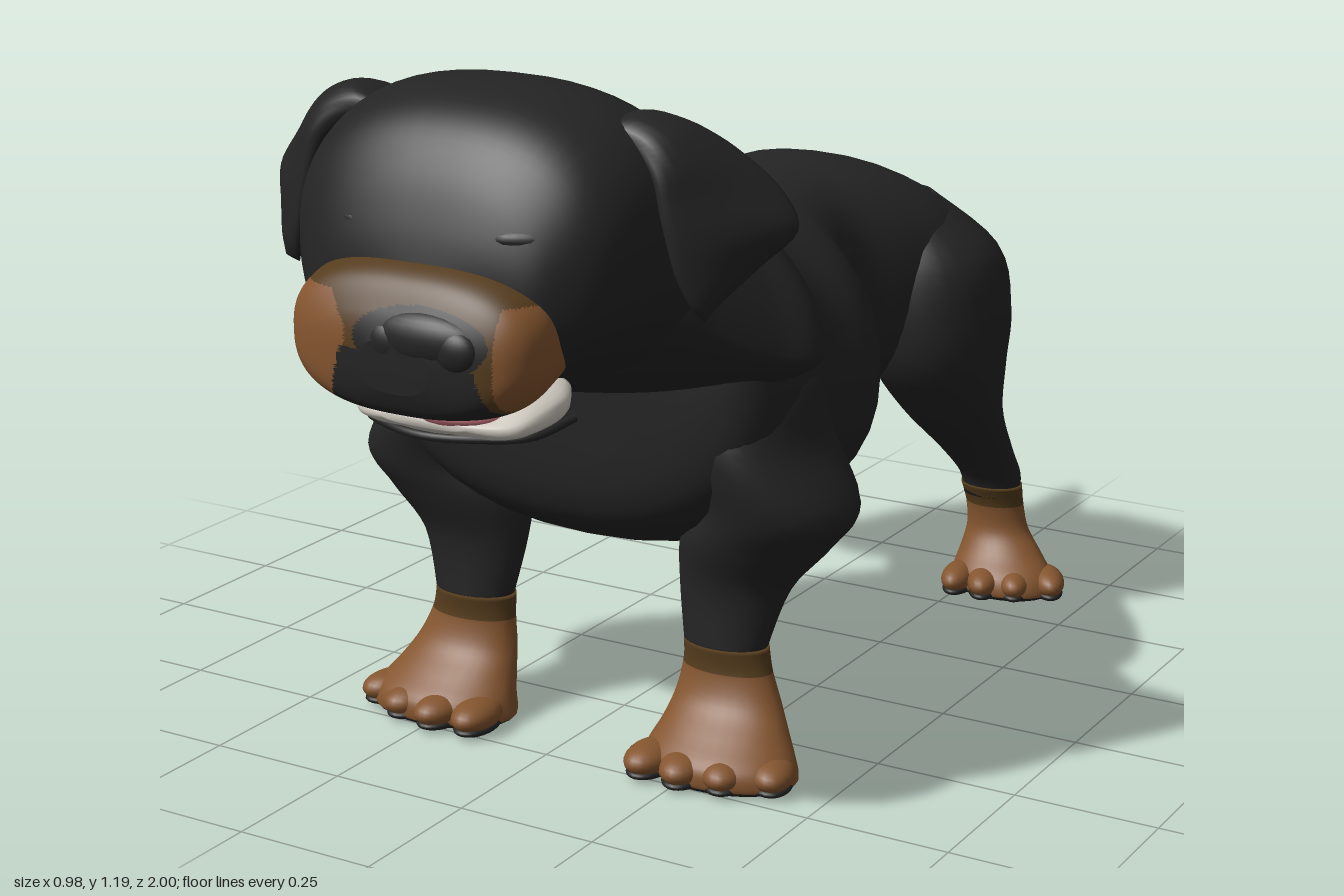
import * as THREE from 'three';

const mat = (name, color) => Object.assign(new THREE.MeshStandardMaterial({ color }), { name });

// Smooth closed skin through rings of [centre xyz, side xyz, up xyz, down xyz].
// paint(x, y, z) may choose a material index for each face.
function loft(rows, { power = 2, sub = 5, seg = 40, paint } = {}) {
  const cat = (a, b, c, d, t) => {
    const m = (c - a) / 2, n = (d - b) / 2, t2 = t * t, t3 = t2 * t;
    return (2 * t3 - 3 * t2 + 1) * b + (t3 - 2 * t2 + t) * m + (3 * t2 - 2 * t3) * c + (t3 - t2) * n;
  };
  const last = rows.length - 1, pos = [], tris = [];
  const round = v => Math.sign(v) * Math.abs(v) ** (2 / power);
  const count = last * sub + 1;
  for (let r = 0; r < count; r++) {
    const i = Math.min(Math.floor(r / sub), last - 1), t = r / sub - i;
    const at = k => rows[Math.max(0, Math.min(last, k))];
    const q = rows[0].map((_, k) => cat(at(i - 1)[k], at(i)[k], at(i + 1)[k], at(i + 2)[k], t));
    for (let j = 0; j < seg; j++) {
      const a = j / seg * Math.PI * 2, c = round(Math.cos(a)), s = round(Math.sin(a));
      const o = s > 0 ? 6 : 9;
      for (let k = 0; k < 3; k++) pos.push(q[k] + c * q[3 + k] + Math.abs(s) * q[o + k]);
    }
  }
  const start = pos.length / 3;
  pos.push(...rows[0].slice(0, 3), ...rows[last].slice(0, 3));
  for (let j = 0; j < seg; j++) {
    const n = (j + 1) % seg, e = (count - 1) * seg;
    for (let r = 0; r < count - 1; r++) {
      const a = r * seg + j, b = r * seg + n;
      tris.push([a, b, a + seg], [b, b + seg, a + seg]);
    }
    tris.push([start, n, j], [start + 1, e + j, e + n]);
  }
  // Turn the faces outward
  const P = i => new THREE.Vector3().fromArray(pos, i * 3);
  let volume = 0;
  for (const [a, b, c] of tris) volume += P(a).dot(P(b).cross(P(c)));
  if (volume < 0) tris.forEach(t => t.reverse());
  const geo = new THREE.BufferGeometry();
  geo.setAttribute('position', new THREE.Float32BufferAttribute(pos, 3));
  if (paint) {
    const bins = [];
    for (const t of tris) {
      const m = P(t[0]).add(P(t[1])).add(P(t[2])).divideScalar(3);
      (bins[paint(m.x, m.y, m.z)] ??= []).push(...t);
    }
    let from = 0;
    bins.forEach((b, i) => { geo.addGroup(from, b.length, i); from += b.length; });
    geo.setIndex(bins.flat());
  } else geo.setIndex(tris.flat());
  geo.computeVertexNormals();
  return geo;
}

// Ring across z: top, bottom, half width, centre x, height of the widest point
const ringZ = ([z, top, bot, w, x, mid = (top + bot) / 2]) =>
  [x, mid, z, w, 0, 0, 0, top - mid, 0, 0, bot - mid, 0];
// Ring across y, mirrored by side s
const ringY = (s, mx) => ([y, x, z, rx, rz]) =>
  [mx + s * x, y, z, rx, 0, 0, 0, 0, rz, 0, 0, -rz];

export function createModel() {
  const model = new THREE.Group();
  model.name = 'dog';
  const black = mat('black coat', 0x242424), tan = mat('tan', 0x84552f);
  const dark = mat('dark tan', 0x553c1d), white = mat('teeth', 0xd2ccc2), pink = mat('tongue pink', 0xc8757c);
  const add = (name, geo, material) => {
    const m = new THREE.Mesh(geo, material);
    m.name = name;
    model.add(m);
    return m;
  };
  const blob = (name, material, p, s, ry = 0) => {
    const m = add(name, new THREE.SphereGeometry(1, 24, 16), material);
    m.position.set(...p);
    m.scale.set(...s);
    m.rotation.y = ry;
  };

  // Torso from rump to chest
  add('torso', loft([
    [-.595, .72, .6, .08, .04], [-.575, .79, .56, .2, .04], [-.5, .835, .5, .285, .04],
    [-.4, .88, .46, .29, .04], [-.3, .9, .45, .25, .035], [-.2, .895, .43, .2, .035],
    [-.1, .885, .41, .24, .03], [0, .88, .38, .335, .025], [.1, .89, .34, .385, .025],
    [.2, .92, .325, .37, .025], [.3, .95, .335, .385, .015], [.4, .95, .37, .385, .01],
    [.46, .9, .41, .35, .01], [.485, .8, .46, .27, .01], [.492, .7, .52, .15, .01],
  ].map(ringZ), { power: 2.25 }), black);
  blob('bellyTuft', black, [.035, .435, -.17], [.03, .035, .06]);

  // Neck, pushed out low down into a heavy fold
  add('neck', loft([
    [.1, .88, .7, .15, .02, .8], [.26, .96, .64, .35, .015, .75], [.38, 1.05, .63, .445, .015, .74],
    [.46, 1.11, .64, .41, .01, .75], [.55, 1.14, .66, .34, .02, .8], [.62, 1.1, .69, .28, .03, .85],
    [.66, 1.0, .73, .18, .03, .86],
  ].map(ringZ), { power: 1.8, seg: 56 }), black);
  // Skull
  add('head', loft([
    [.36, 1.0, .78, .12, .02, .9], [.45, 1.09, .72, .27, .02, .92], [.55, 1.165, .69, .325, .025, .95],
    [.65, 1.19, .71, .32, .035, .97], [.75, 1.18, .735, .305, .045, .96], [.82, 1.145, .745, .28, .05, .94],
    [.87, 1.08, .75, .235, .055, .91], [.905, 1.0, .77, .18, .06, .88], [.925, .93, .8, .08, .06, .86],
  ].map(ringZ), { power: 2.4, seg: 56 }), black);

  // Muzzle: dark bridge, tan cheeks, black front
  add('muzzle', loft([
    [.78, .965, .745, .2, .06], [.84, .965, .73, .215, .06], [.9, .957, .718, .222, .06],
    [.95, .935, .725, .205, .06], [.98, .89, .738, .155, .065], [.995, .85, .77, .06, .07],
  ].map(ringZ), {
    power: 2.6, sub: 12, seg: 160,
    paint: (x, y, z) => {
      const nose = ((x - .11) / .115) ** 2 + ((y - .852) / .052) ** 2 < 1;
      const lip = y < .83 && Math.abs(x - .085) < .115 + (.83 - y) * .3;
      if ((z > .9 && (nose || lip)) || y < .722) return 0;
      const side = x < -.022 - Math.max(0, y - .86) * .8 || x > .232;
      return side && y < .908 ? 1 : 2;
    },
  }), [black, tan, dark]);
  blob('nose', black, [.11, .852, .963], [.105, .046, .036]);
  for (const s of [-1, 1]) {
    blob('nostrilWing', black, [.11 + s * .06, .843, .975], [.04, .034, .022]);
    blob('closedEyelid', black, [.065 + s * .165, .995, .862], [.06, .02, .025], s * .5);
  }

  // Open lower jaw, deeper toward the throat
  add('lowerJaw', loft([
    [.7, .75, .69, .14, .05], [.75, .75, .672, .165, .05], [.82, .738, .668, .165, .05],
    [.87, .715, .675, .14, .05], [.9, .708, .692, .07, .05],
  ].map(ringZ), { power: 2.6 }), white);
  blob('tongue', pink, [.085, .712, .84], [.085, .024, .069]);
  add('lowerLip', new THREE.TubeGeometry(new THREE.CatmullRomCurve3(
    [[-.12, .69, .74], [-.1, .68, .83], [-.03, .678, .875], [.05, .677, .895], [.13, .678, .875], [.2, .68, .83], [.22, .69, .74]]
      .map(p => new THREE.Vector3(...p))), 30, .007, 8), black);

  // Tail: curved, flattened and tapering
  add('tail', loft([
    [-.48, .74, .075, .045], [-.55, .745, .076, .05], [-.62, .65, .068, .044], [-.66, .545, .062, .04],
    [-.74, .45, .055, .036], [-.86, .4, .044, .026], [-.96, .381, .026, .015], [-1, .376, .008, .005],
  ].map(([z, y, w, h], i, all) => {
    const a = all[Math.max(0, i - 1)], b = all[Math.min(all.length - 1, i + 1)];
    const dz = b[0] - a[0], dy = b[1] - a[1], l = Math.hypot(dz, dy);
    const uy = -dz / l * h, uz = dy / l * h;
    return [.05, y, z, w, 0, 0, 0, uy, uz, 0, -uy, -uz];
  }), { seg: 20 }), black);

  for (const s of [-1, 1]) {
    // Ear flap: each ring runs from the front edge to the flared rear edge
    add('ear', loft([
      [1.08, .12, .66, .12, .55, .05], [1.115, .2, .68, .21, .54, .05], [1.105, .27, .69, .3, .52, .04],
      [1.07, .31, .7, .385, .51, .028], [1.02, .325, .705, .455, .51, .02], [.97, .338, .705, .487, .525, .017],
      [.92, .352, .7, .45, .575, .015], [.875, .37, .685, .415, .62, .013], [.85, .382, .665, .397, .645, .006],
    ].map(([y, fx, fz, bx, bz, t]) => {
      const f = s * fx + .025, b = s * bx;
      return [(f + b) / 2, y, (fz + bz) / 2, (b - f) / 2, 0, (bz - fz) / 2,
        s * t, t * .7, t * .4, -s * t, -t * .7, -t * .4];
    }), { seg: 24 }), black);

    // Upper legs
    add('frontLeg', loft([
      [.76, .25, .31, .04, .06], [.68, .28, .315, .1, .12], [.57, .3, .325, .105, .15],
      [.46, .335, .325, .132, .135], [.39, .295, .33, .132, .105], [.31, .26, .34, .1, .066], [.2, .252, .36, .073, .048],
    ].map(ringY(s, .015)), { seg: 28 }), black);
    add('hindLeg', loft([
      [.82, .15, -.42, .06, .07], [.72, .2, -.435, .135, .135], [.6, .225, -.44, .132, .155],
      [.5, .23, -.445, .12, .138], [.4, .24, -.485, .095, .09], [.3, .25, -.575, .07, .062],
      [.235, .256, -.63, .06, .05], [.19, .257, -.64, .056, .042],
    ].map(ringY(s, .035)), { seg: 28, power: 2.1 }), black);

    // Feet: dark cuff, tan paw, black sole, four toes
    const foot = (name, mx, rows, toe) => {
      add(name, loft(rows.map(ringY(s, mx)), {
        seg: 28, paint: (x, y) => y < .012 ? 0 : y > .172 ? 2 : 1,
      }), [black, tan, dark]);
      const [tx, tz, spread, turn] = toe;
      for (let i = 0; i < 4; i++) {
        const u = (i - 1.5) / 1.5, a = turn + u * .25;
        const x = mx + s * (tx + u * spread * Math.cos(turn));
        const z = tz - u * spread * Math.sin(turn) - Math.abs(u) * .03;
        blob(name + 'Toe', tan, [x, .032, z], [spread * .37, .027, .06], s * a);
        blob(name + 'ToePad', black, [x, .013, z], [spread * .34, .013, .055], s * a);
      }
    };
    foot('frontFoot', .018, [
      [.212, .252, .36, .077, .051], [.17, .256, .362, .082, .047], [.12, .263, .372, .097, .055],
      [.08, .27, .395, .113, .075], [.045, .276, .42, .132, .09], [.015, .278, .425, .14, .09], [.003, .278, .425, .125, .08],
    ], [.278, .485, .105, .2]);
    foot('hindFoot', .035, [
      [.212, .257, -.637, .061, .049], [.17, .26, -.648, .058, .043], [.12, .265, -.653, .062, .045],
      [.08, .277, -.643, .08, .057], [.045, .29, -.625, .098, .072], [.015, .295, -.62, .103, .075], [.003, .295, -.62, .09, .065],
    ], [.302, -.575, .085, .35]);
  }
  return model;
}
